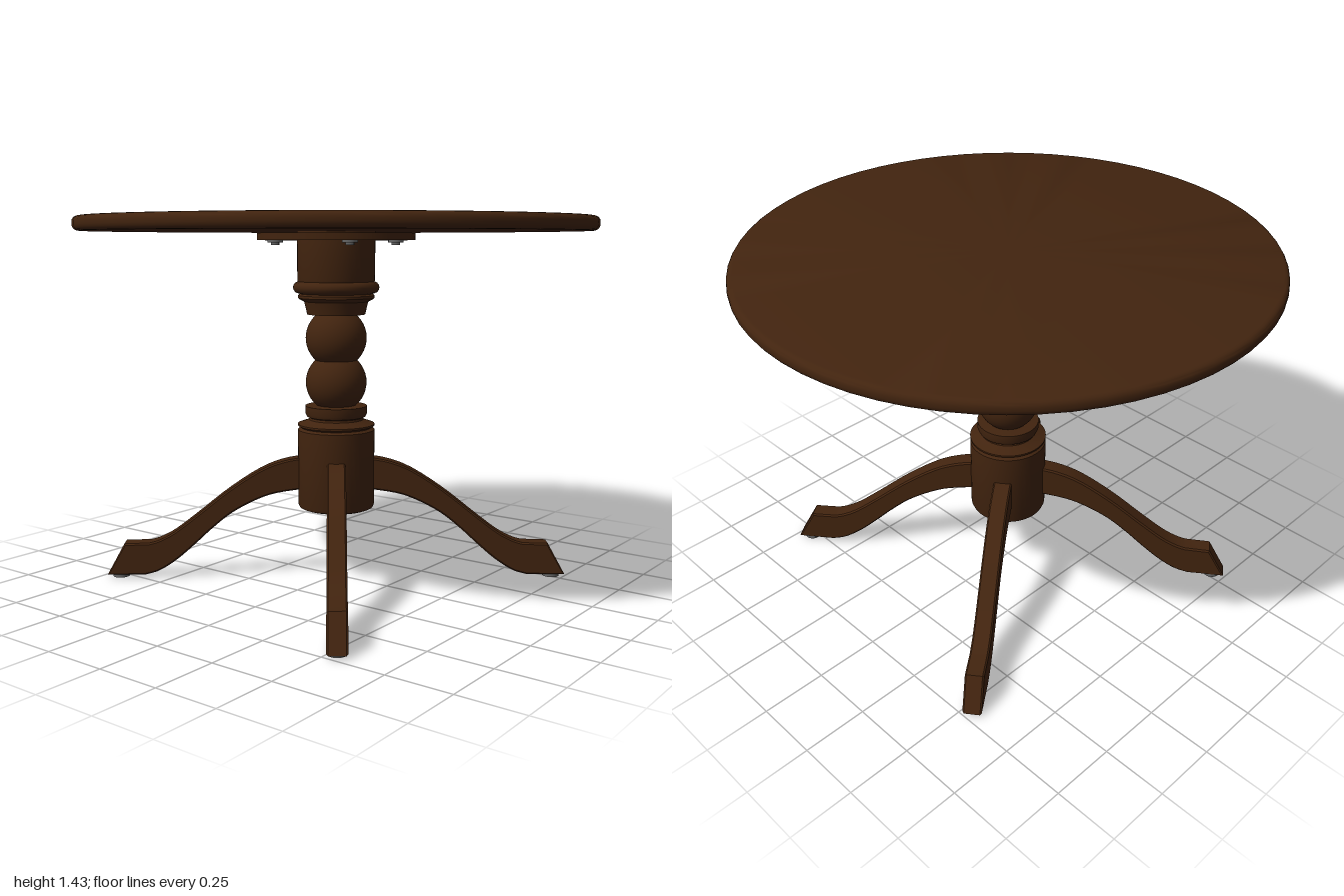
import * as THREE from 'three';
import { toCreasedNormals } from 'three/addons/utils/BufferGeometryUtils.js';

const wood = new THREE.MeshStandardMaterial({ color: 0x42240f });
wood.name = 'dark wood';
const metal = new THREE.MeshStandardMaterial({ color: 0x666666 });
metal.name = 'grey metal';

const vecs = (list) => list.map(([x, y]) => new THREE.Vector2(x, y));

function addMesh(parent, name, geometry, material) {
  const mesh = new THREE.Mesh(geometry, material);
  mesh.name = name;
  parent.add(mesh);
  return mesh;
}

// Turned part from a [radius, height] profile listed bottom to top
const turned = (profile, segments = 48) =>
  toCreasedNormals(new THREE.LatheGeometry(vecs(profile), segments), 0.6);

// Points of an arc bulging outward, for balls and rounded rims
function arc(cx, cy, radius, from, to, steps) {
  const points = [];
  for (let i = 0; i <= steps; i++) {
    const a = THREE.MathUtils.degToRad(from + ((to - from) * i) / steps);
    points.push([cx + radius * Math.cos(a), cy + radius * Math.sin(a)]);
  }
  return points;
}

// Curved leg outline (distance from the column, height), extruded to its width
function legGeometry() {
  const width = 0.072, bevel = 0.006;
  const shape = new THREE.Shape();
  shape.moveTo(0.1, 0.36);
  shape.lineTo(0.15, 0.362);
  shape.splineThru(vecs([[0.25, 0.345], [0.33, 0.315], [0.42, 0.265], [0.5, 0.2],
    [0.57, 0.135], [0.64, 0.075], [0.71, 0.03], [0.77, 0.012]]));
  shape.lineTo(0.92, 0.012);
  shape.lineTo(0.85, 0.14);
  shape.lineTo(0.75, 0.143);
  shape.splineThru(vecs([[0.71, 0.155], [0.65, 0.187], [0.56, 0.255], [0.43, 0.358],
    [0.3, 0.442], [0.2, 0.48], [0.1, 0.495]]));
  shape.closePath();
  const geometry = new THREE.ExtrudeGeometry(shape, {
    depth: width - 2 * bevel, curveSegments: 3, bevelEnabled: true,
    bevelThickness: bevel, bevelSize: bevel, bevelOffset: -bevel, bevelSegments: 1,
  });
  geometry.translate(0, 0, -width / 2 + bevel);
  return toCreasedNormals(geometry, 0.5);
}

export function createModel() {
  const model = new THREE.Group();
  model.name = 'pedestalTable';

  // Round top with a softened rim
  addMesh(model, 'tableTop', turned([
    [0, 1.38], ...arc(0.978, 1.402, 0.022, -90, 0, 4),
    ...arc(0.978, 1.413, 0.022, 0, 90, 4), [0, 1.435],
  ], 64), wood);

  const pedestal = new THREE.Group();
  pedestal.name = 'pedestal';
  pedestal.position.set(-0.004, 0, 0.004);
  model.add(pedestal);

  // Mounting plate under the top
  const plate = addMesh(pedestal, 'mountingPlate',
    new THREE.CylinderGeometry(0.308, 0.308, 0.028, 48), wood);
  plate.position.y = 1.359;

  // Turned column: base drum, collar, two balls, neck and upper drum
  addMesh(pedestal, 'column', turned([
    [0, 0.285], [0.135, 0.285], [0.147, 0.29], [0.152, 0.302], [0.152, 0.602],
    [0.14, 0.61], [0.152, 0.618], [0.152, 0.625], [0.125, 0.634], [0.108, 0.642], [0.106, 0.65],
    [0.117, 0.655], [0.122, 0.667], [0.122, 0.697], [0.075, 0.699],
    ...arc(0, 0.79, 0.12, -48, 48, 12),
    ...arc(0, 0.965, 0.12, -48, 50, 12),
    [0.114, 1.058], [0.12, 1.085], [0.126, 1.108], [0.142, 1.116], [0.15, 1.122], [0.15, 1.132],
    [0.142, 1.138], ...arc(0.146, 1.163, 0.023, -80, 80, 6),
    [0.152, 1.192], [0.152, 1.34], [0.152, 1.381],
  ]), wood);

  // Four legs, each with a glide under the foot
  const legShape = legGeometry();
  const glideShape = new THREE.CylinderGeometry(0.033, 0.033, 0.014, 20);
  for (let i = 0; i < 4; i++) {
    const leg = new THREE.Group();
    leg.name = `legAssembly${i + 1}`;
    leg.rotation.y = THREE.MathUtils.degToRad(-53 + 90 * i);
    addMesh(leg, 'leg', legShape, wood);
    addMesh(leg, 'footGlide', glideShape, metal).position.set(0.87, 0.007, 0);
    pedestal.add(leg);
  }

  // Bolts through the mounting plate
  const washerShape = new THREE.CylinderGeometry(0.03, 0.03, 0.008, 20);
  const headShape = new THREE.CylinderGeometry(0.018, 0.018, 0.012, 6);
  for (let i = 0; i < 4; i++) {
    const bolt = new THREE.Group();
    bolt.name = `bolt${i + 1}`;
    const angle = THREE.MathUtils.degToRad(41 + 90 * i);
    bolt.position.set(0.24 * Math.cos(angle), 1.341, 0.24 * Math.sin(angle));
    addMesh(bolt, 'washer', washerShape, metal);
    addMesh(bolt, 'boltHead', headShape, metal).position.y = -0.008;
    pedestal.add(bolt);
  }

  return model;
}
